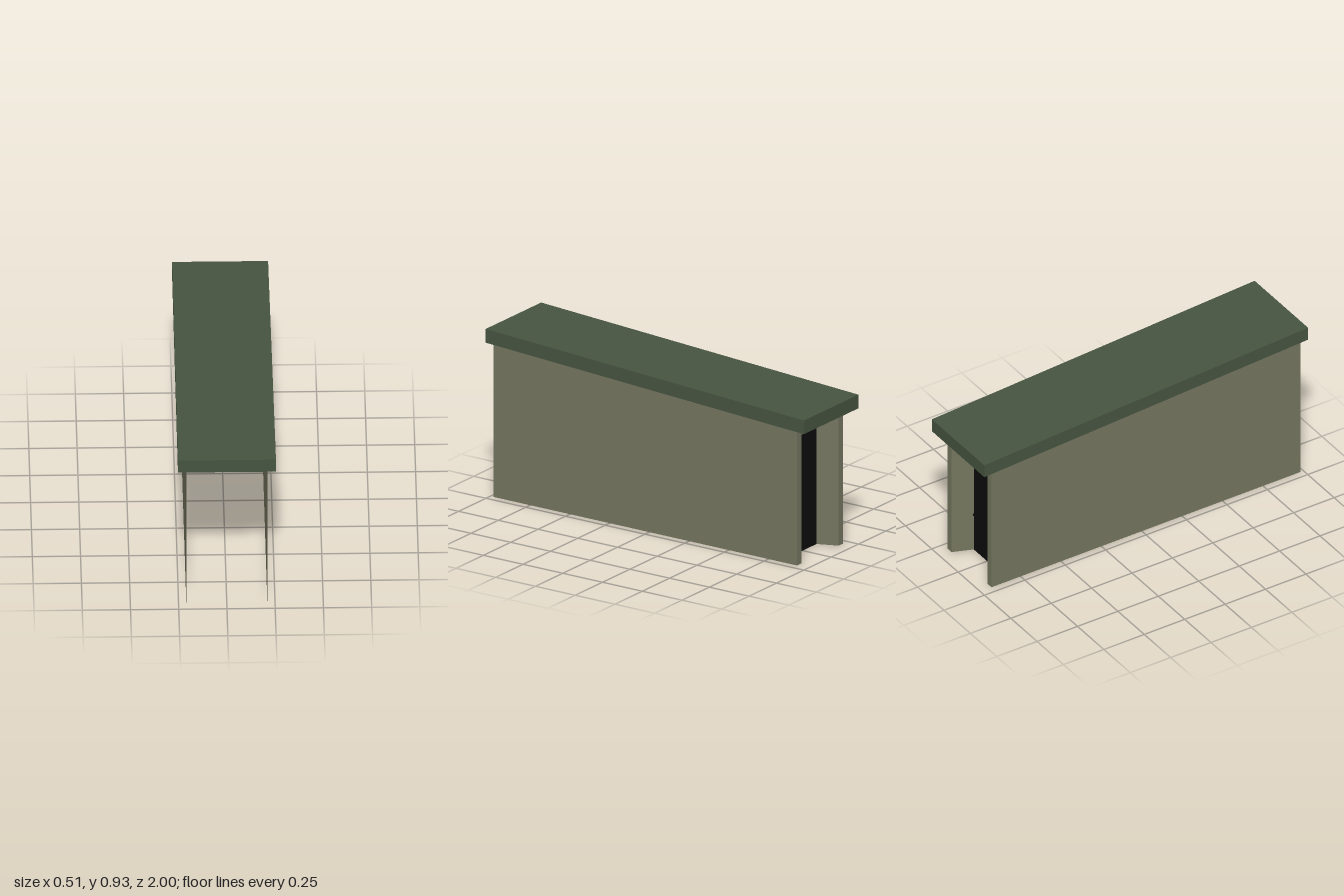
import * as THREE from 'three';

export function createModel() {
  const model = new THREE.Group();
  const concrete = new THREE.MeshStandardMaterial({ color: 0x74765f, side: THREE.DoubleSide });
  concrete.name = 'olive concrete';
  const green = new THREE.MeshStandardMaterial({ color: 0x465440 });
  green.name = 'green roofing';
  const black = new THREE.MeshStandardMaterial({ color: 0x0c0c0c, side: THREE.DoubleSide });
  black.name = 'black doorway';

  const add = (name, geometry, material) => {
    const mesh = new THREE.Mesh(geometry, material);
    mesh.name = name;
    model.add(mesh);
    return mesh;
  };
  // Flat four-cornered panel
  const quad = (a, b, c, d) => {
    const g = new THREE.BufferGeometry();
    g.setAttribute('position', new THREE.Float32BufferAttribute([a, b, c, a, c, d].flat(), 3));
    g.computeVertexNormals();
    return g;
  };

  const roofBase = (z) => 0.8 + 0.055 * z; // underside of the sloping roof
  const front = 0.98, back = -0.93, doorZ = -0.82, halfW = 0.21;

  // Sloping roof slab, slightly wider at the front
  const roof = new THREE.BoxGeometry(1, 0.075, 2).toNonIndexed();
  const p = roof.attributes.position;
  for (let i = 0; i < p.count; i++) {
    const z = p.getZ(i);
    p.setX(i, p.getX(i) * (0.503 + 0.005 * z));
    p.setY(i, p.getY(i) + 0.0375 + roofBase(z));
  }
  roof.computeVertexNormals();
  add('roof', roof, green);

  // Thin side walls
  for (const s of [-1, 1]) {
    const x = s * halfW;
    const corners = [[x, 0, front], [x, 0, back], [x, roofBase(back), back], [x, roofBase(front), front]];
    if (s < 0) corners.reverse();
    add(s > 0 ? 'leftWall' : 'rightWall', quad(...corners), concrete);
  }

  // Back wall: a frame around the door opening, reaching the ground
  const frame = new THREE.Shape([
    [-halfW, 0], [-0.17, 0], [-0.17, 0.705], [0.17, 0.705], [0.17, 0],
    [halfW, 0], [halfW, roofBase(back)], [-halfW, roofBase(back)],
  ].map(([x, y]) => new THREE.Vector2(x, y)));
  const backWall = add('doorFrame', new THREE.ShapeGeometry(frame), concrete);
  backWall.rotation.y = Math.PI;
  backWall.position.z = back;

  // Splayed reveals narrowing inwards to the door
  const outer = [[0.17, 0], [0.17, 0.705], [-0.17, 0.705], [-0.17, 0]];
  const inner = [[0.127, 0], [0.127, 0.66], [-0.127, 0.66], [-0.127, 0]];
  ['leftReveal', 'topReveal', 'rightReveal'].forEach((name, i) => {
    add(name, quad(
      [...outer[i], back], [...outer[i + 1], back],
      [...inner[i + 1], doorZ], [...inner[i], doorZ]), concrete);
  });

  // Door panel with two tiny hinges
  const door = add('door', new THREE.PlaneGeometry(0.254, 0.66), black);
  door.position.set(0, 0.33, doorZ);
  for (const y of [0.22, 0.56]) {
    const hinge = add('hinge', new THREE.BoxGeometry(0.004, 0.015, 0.006), black);
    hinge.position.set(0.126, y, doorZ);
  }

  return model;
}
